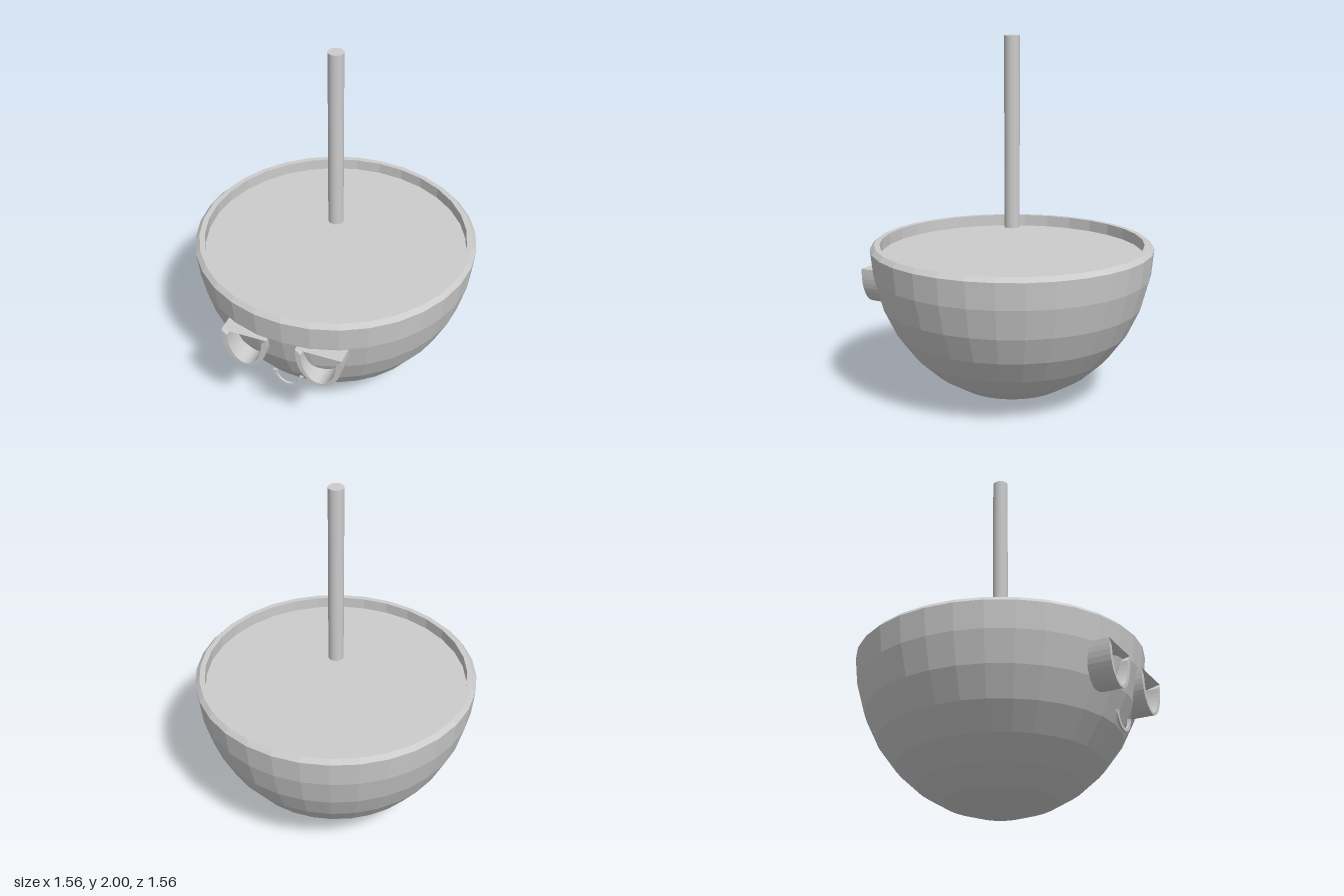
import * as THREE from 'three';

const grey = new THREE.MeshStandardMaterial({ color: 0xcccccc });
const faceted = new THREE.MeshStandardMaterial({ color: 0xcccccc, flatShading: true });

function addMesh(parent, name, geometry, material = grey) {
  const mesh = new THREE.Mesh(geometry, material);
  mesh.name = name;
  parent.add(mesh);
  return mesh;
}

// Points along the lower half of an ellipse, from +x round to -x
function lowerArc(rx, ry, cy, steps = 20) {
  return Array.from({ length: steps + 1 }, (_, i) => {
    const a = -Math.PI * i / steps;
    return new THREE.Vector2(rx * Math.cos(a), cy + ry * Math.sin(a));
  });
}

// Half-round frame with a sloping lid across the top
function createEye(name, x) {
  const eye = new THREE.Group();
  eye.name = name;
  const back = 0.6, front = 0.78;

  const outline = [
    new THREE.Vector2(0.128, 0.7),
    ...lowerArc(0.128, 0.183, 0.67),
    new THREE.Vector2(-0.128, 0.7),
    ...lowerArc(0.098, 0.165, 0.667).reverse(),
  ];
  const frame = new THREE.ExtrudeGeometry(new THREE.Shape(outline),
    { depth: front - back, bevelEnabled: false });
  frame.translate(0, 0, back);
  addMesh(eye, 'eyeFrame', frame, faceted);

  // Lid: wedge profile (-z, y) swept along x
  const wedge = new THREE.Shape([
    new THREE.Vector2(-front, 0.7),
    new THREE.Vector2(-0.71, 0.666),
    new THREE.Vector2(-back, 0.666),
    new THREE.Vector2(-back, 0.7),
  ]);
  const lid = new THREE.ExtrudeGeometry(wedge, { depth: 0.256, bevelEnabled: false });
  lid.translate(0, 0, -0.128).rotateY(Math.PI / 2);
  addMesh(eye, 'eyelid', lid, faceted);

  eye.position.x = x;
  return eye;
}

export function createModel() {
  const model = new THREE.Group();
  model.name = 'bowlWithStick';

  // Bowl: deep half ellipsoid, chamfered rim and a recessed flat filling
  const profile = [];
  for (let i = 0; i < 8; i++) {
    const a = i * Math.PI / 16;
    profile.push(new THREE.Vector2(0.78 * Math.sin(a), 0.875 - 0.871 * Math.cos(a)));
  }
  for (const [r, y] of [[0.78, 0.85], [0.757, 0.875], [0.727, 0.875], [0.727, 0.81], [0, 0.81]]) {
    profile.push(new THREE.Vector2(r, y));
  }
  addMesh(model, 'bowl', new THREE.LatheGeometry(profile, 32), faceted);

  // Stick hovering above the filling
  const stick = addMesh(model, 'stick', new THREE.CylinderGeometry(0.042, 0.042, 1.04, 32));
  stick.position.y = 1.48;

  // Eyes
  model.add(createEye('leftEye', 0.207), createEye('rightEye', -0.21));

  // Smiling mouth: thin half ring
  const smile = new THREE.Shape([
    ...lowerArc(0.086, 0.087, 0.43),
    ...lowerArc(0.066, 0.072, 0.43).reverse(),
  ]);
  const mouth = addMesh(model, 'mouth',
    new THREE.ExtrudeGeometry(smile, { depth: 0.012, bevelEnabled: false }), faceted);
  mouth.position.z = 0.692;

  return model;
}
